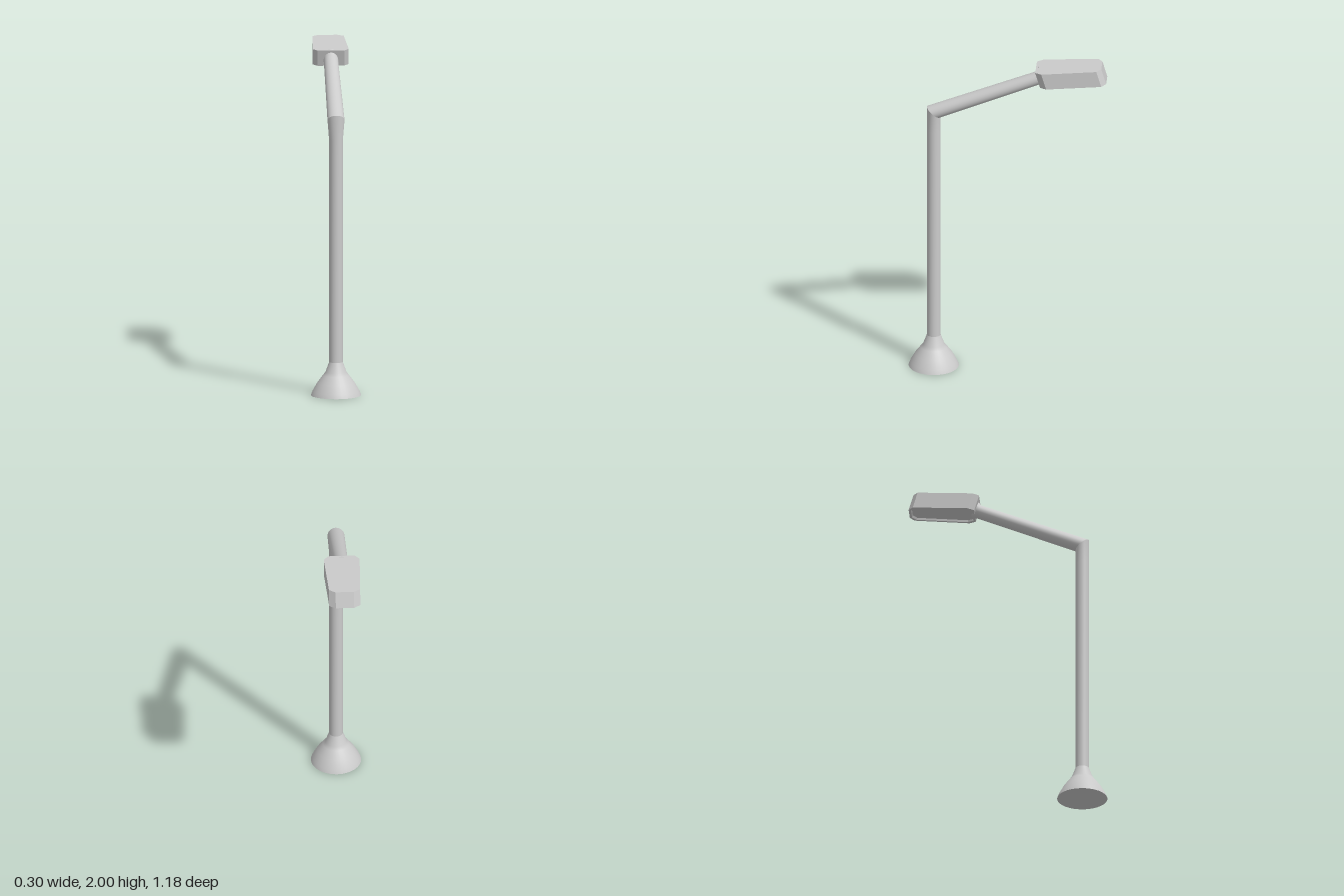
import * as THREE from 'three';

const POLE_Z = 0.444;
const material = new THREE.MeshStandardMaterial({ color: 0xcccccc });
const flatMaterial = new THREE.MeshStandardMaterial({ color: 0xcccccc, flatShading: true });

// Skins a list of equal-sized point rings; caps get their own vertices so their edges stay sharp.
function loft(rings) {
  const n = rings[0].length;
  const pos = rings.flat().flatMap((p) => [p.x, p.y, p.z]);
  const index = [];
  for (let r = 0; r < rings.length - 1; r++) {
    for (let i = 0; i < n; i++) {
      const j = (i + 1) % n;
      const a = r * n + i, b = r * n + j, c = a + n, d = b + n;
      index.push(a, c, b, b, c, d);
    }
  }
  const cap = (ring, up) => {
    const start = pos.length / 3;
    const centre = ring.reduce((s, p) => s.add(p), new THREE.Vector3()).divideScalar(n);
    [...ring, centre].forEach((p) => pos.push(p.x, p.y, p.z));
    for (let i = 0; i < n; i++) {
      const a = start + i, b = start + ((i + 1) % n);
      if (up) index.push(a, start + n, b);
      else index.push(a, b, start + n);
    }
  };
  cap(rings[0], false);
  cap(rings[rings.length - 1], true);
  const g = new THREE.BufferGeometry();
  g.setAttribute('position', new THREE.Float32BufferAttribute(pos, 3));
  g.setIndex(index);
  g.computeVertexNormals();
  return g;
}

// Ellipse centred on (y, z): half width rx along x, other half axis (vy, vz).
function ellipse(y, z, rx, vy, vz, n = 32) {
  return Array.from({ length: n }, (_, i) => {
    const t = (i / n) * Math.PI * 2;
    return new THREE.Vector3(Math.cos(t) * rx, y + Math.sin(t) * vy, z + Math.sin(t) * vz);
  });
}

function addPart(group, name, geometry, mat = material) {
  const mesh = new THREE.Mesh(geometry, mat);
  mesh.name = name;
  group.add(mesh);
  return mesh;
}

export function createModel() {
  const group = new THREE.Group();
  group.name = 'streetLamp';

  // Flared foot with a closed underside
  const profile = [[0.15, 0], [0.14, 0.025], [0.112, 0.075], [0.078, 0.12], [0.063, 0.14], [0.041, 0.2]]
    .map(([r, y]) => new THREE.Vector2(r, y));
  addPart(group, 'base', new THREE.LatheGeometry(profile, 32)).position.z = POLE_Z;
  const underside = addPart(group, 'baseUnderside', new THREE.CircleGeometry(0.15, 32));
  underside.rotation.x = Math.PI / 2;
  underside.position.z = POLE_Z;

  // Upright pole, widening into the mitred elbow
  const elbow = ellipse(1.664, POLE_Z, 0.051, 0.032, 0.04);
  addPart(group, 'pole', loft([
    ellipse(0.19, POLE_Z, 0.041, 0, 0.041),
    ellipse(1.54, POLE_Z, 0.041, 0, 0.041),
    elbow,
  ]));

  // Sloping arm, ending in a short flared socket
  addPart(group, 'arm', loft([
    elbow,
    ellipse(1.905, -0.175, 0.043, 0.037, 0.015),
    ellipse(1.922, -0.2, 0.045, 0.058, 0.0185),
  ]));

  // Lamp head: tapered octagon sheared along its tilt, with a recessed lens below
  const half = [[0.107, -0.205], [0.08, -0.167], [0.055, -0.56], [0.093, -0.533]];
  const outline = [
    half[0], half[1], [-half[1][0], half[1][1]], [-half[0][0], half[0][1]],
    [-half[3][0], half[3][1]], [-half[2][0], half[2][1]], half[2], half[3],
  ];
  const MID = -0.365;
  const headRing = (drop, inset) => outline.map(([x, z]) => {
    const zz = MID + (z - MID) * (1 - inset / 2);
    return new THREE.Vector3(x * (1 - inset), 1.975 + (-0.167 - zz) * 0.064 - drop, zz - drop * 0.3);
  });
  addPart(group, 'lampHead', loft([
    headRing(0.085, 0.16), headRing(0.097, 0.14), headRing(0.097, 0), headRing(0, 0),
  ]), flatMaterial);

  return group;
}
